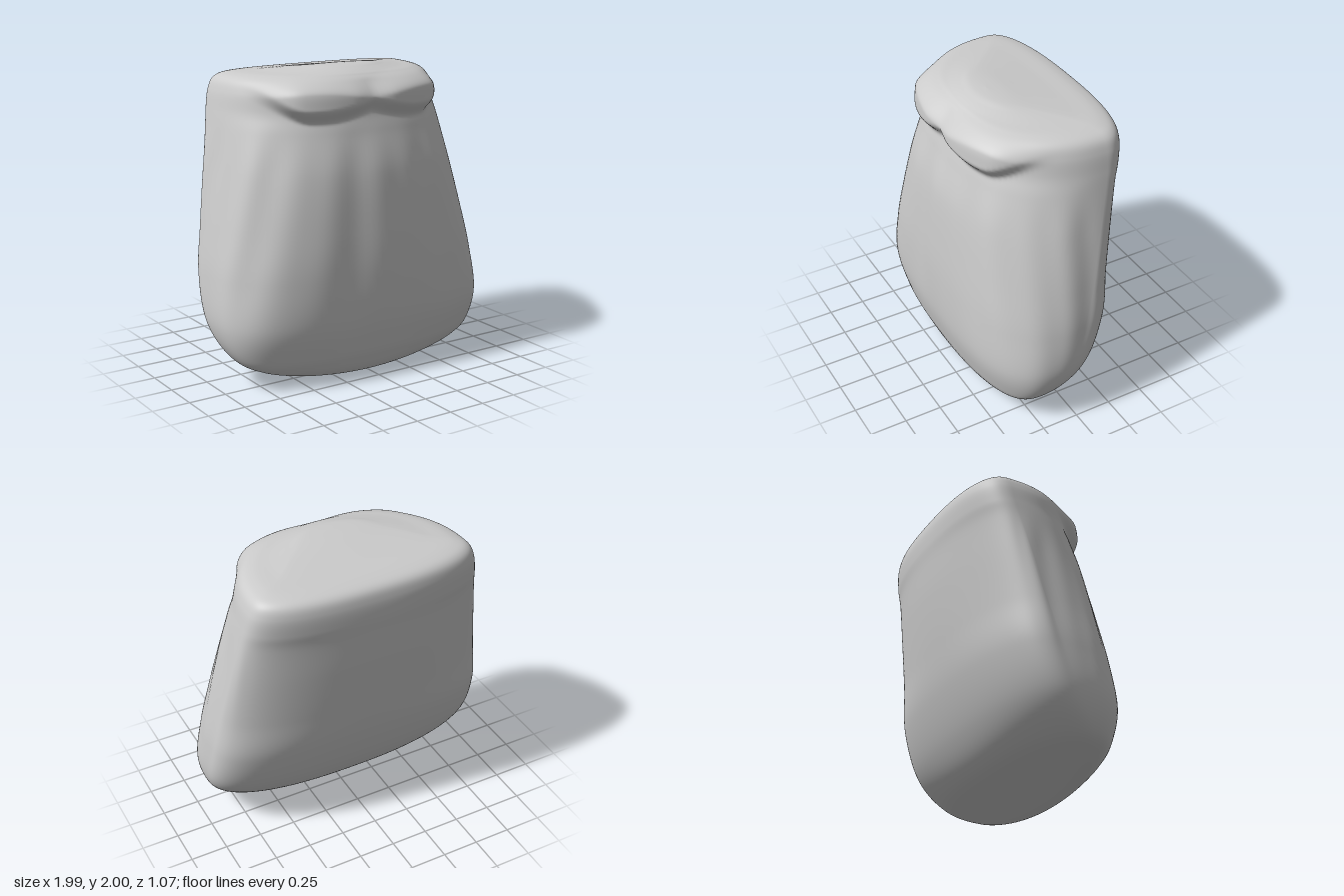
import * as THREE from 'three';

// Horizontal slices: y, half width, front z, widest z, back z, front and back squareness
const LEVELS = [
  [0.0, 0, 0.35, 0.35, 0.35, 2, 2],
  [0.015, 0.28, 0.395, 0.34, 0.29, 2, 2],
  [0.05, 0.53, 0.43, 0.32, 0.2, 2.1, 2],
  [0.11, 0.76, 0.46, 0.28, 0.06, 2.3, 2.1],
  [0.2, 0.91, 0.49, 0.2, -0.13, 2.6, 2.4],
  [0.4, 0.99, 0.525, 0.08, -0.27, 3, 2.8],
  [0.7, 0.98, 0.53, -0.04, -0.38, 2.9, 2.7],
  [1.0, 0.935, 0.515, -0.12, -0.44, 2.7, 2.2],
  [1.35, 0.872, 0.48, -0.2, -0.49, 2.5, 2.05],
  [1.6, 0.825, 0.42, -0.25, -0.515, 2.4, 2.1],
  [1.72, 0.802, 0.39, -0.27, -0.528, 2.3, 2.3],
  [1.84, 0.775, 0.38, -0.28, -0.527, 2.3, 2.5],
  [1.915, 0.735, 0.355, -0.28, -0.5, 2.3, 2.5],
  [1.948, 0.655, 0.315, -0.26, -0.42, 2.3, 2.5],
  [1.963, 0.51, 0.285, -0.18, -0.27, 2.2, 2.3],
  [1.98, 0.36, 0.24, -0.04, -0.12, 2, 2],
  [1.995, 0.2, 0.185, 0.09, 0.01, 2, 2],
  [2.0, 0, 0.11, 0.11, 0.11, 2, 2],
];
const COLS = 144, SUB = 12;
const step = THREE.MathUtils.smoothstep;
const lerp = THREE.MathUtils.lerp;

// Smooth in-between slice
function slice(t) {
  const last = LEVELS.length - 1;
  const i = Math.min(Math.floor(t), last - 1), f = t - i;
  const at = (k) => LEVELS[Math.max(0, Math.min(last, k))];
  return LEVELS[i].map((b, k) => {
    const a = at(i - 1)[k], c = at(i + 1)[k], d = at(i + 2)[k];
    const m0 = (c - a) / 2, m1 = (d - b) / 2;
    const f2 = f * f, f3 = f2 * f;
    return b * (2 * f3 - 3 * f2 + 1) + m0 * (f3 - 2 * f2 + f) + c * (3 * f2 - 2 * f3) + m1 * (f3 - f2);
  });
}

// Two-lobed moustache roll standing out under the lid, with a cusp in the middle
function moustache(x, y, z) {
  const a = Math.abs(x);
  const lobe = Math.sin(Math.min(a / 0.36, 1) * Math.PI / 2);
  const low = lerp(1.715, 1.65, lobe) + 0.15 * step(a, 0.42, 0.74);
  const top = lerp(1.84, 1.89, lobe) - 0.04 * step(a, 0.4, 0.7);
  const rise = step(y, low, low + 0.11) * (1 - step(y, top - 0.04, top + 0.09));
  const depth = lerp(0.062, 0.085, step(a, 0, 0.15)) * (1 - step(a, 0.45, 0.72));
  return rise * depth * step(z, -0.1, 0.1);
}

// Soft hair strands fanning down the front and sides
function strands(angle, y) {
  const fade = step(y, 0.15, 0.9) * (1 - step(y, 1.35, 1.7)) * (1 - step(Math.abs(angle), 1.3, 2.1));
  const fan = angle * lerp(0.8, 1.2, y / 1.8);
  return fade * (0.006 * Math.sin(10 * fan + 0.7) + 0.004 * Math.sin(18 * fan + 2));
}

function beardGeometry() {
  const rows = (LEVELS.length - 1) * SUB;
  const pos = [], index = [];
  for (let r = 0; r <= rows; r++) {
    const [y, w, zf, zs, zb, nf, nb] = slice(r / SUB);
    for (let c = 0; c < COLS; c++) {
      const angle = (c / COLS) * Math.PI * 2;
      const s = Math.sin(angle), k = Math.cos(angle);
      const n = k > 0 ? nf : nb;
      const rad = Math.pow(Math.abs(s) ** n + Math.abs(k) ** n, -1 / n);
      const x = w * rad * s;
      const z = zs + rad * k * (k > 0 ? zf - zs : zs - zb);
      // Push outward for strands and moustache
      const signed = angle > Math.PI ? angle - Math.PI * 2 : angle;
      const push = moustache(x, y, z) + strands(signed, y);
      const out = new THREE.Vector2(x * 0.6, z + 0.25).normalize();
      pos.push(x + out.x * push, y, z + out.y * push);
      if (r < rows) {
        const a = r * COLS + c, b = r * COLS + ((c + 1) % COLS);
        index.push(a, b, a + COLS, b, b + COLS, a + COLS);
      }
    }
  }
  const geo = new THREE.BufferGeometry();
  geo.setAttribute('position', new THREE.Float32BufferAttribute(pos, 3));
  geo.setIndex(index);
  geo.computeVertexNormals();
  return geo;
}

export function createModel() {
  const group = new THREE.Group();
  group.name = 'beardWithMoustache';
  const beard = new THREE.Mesh(beardGeometry(), new THREE.MeshStandardMaterial({ color: 0xcccccc }));
  beard.name = 'beard';
  group.add(beard);
  return group;
}
